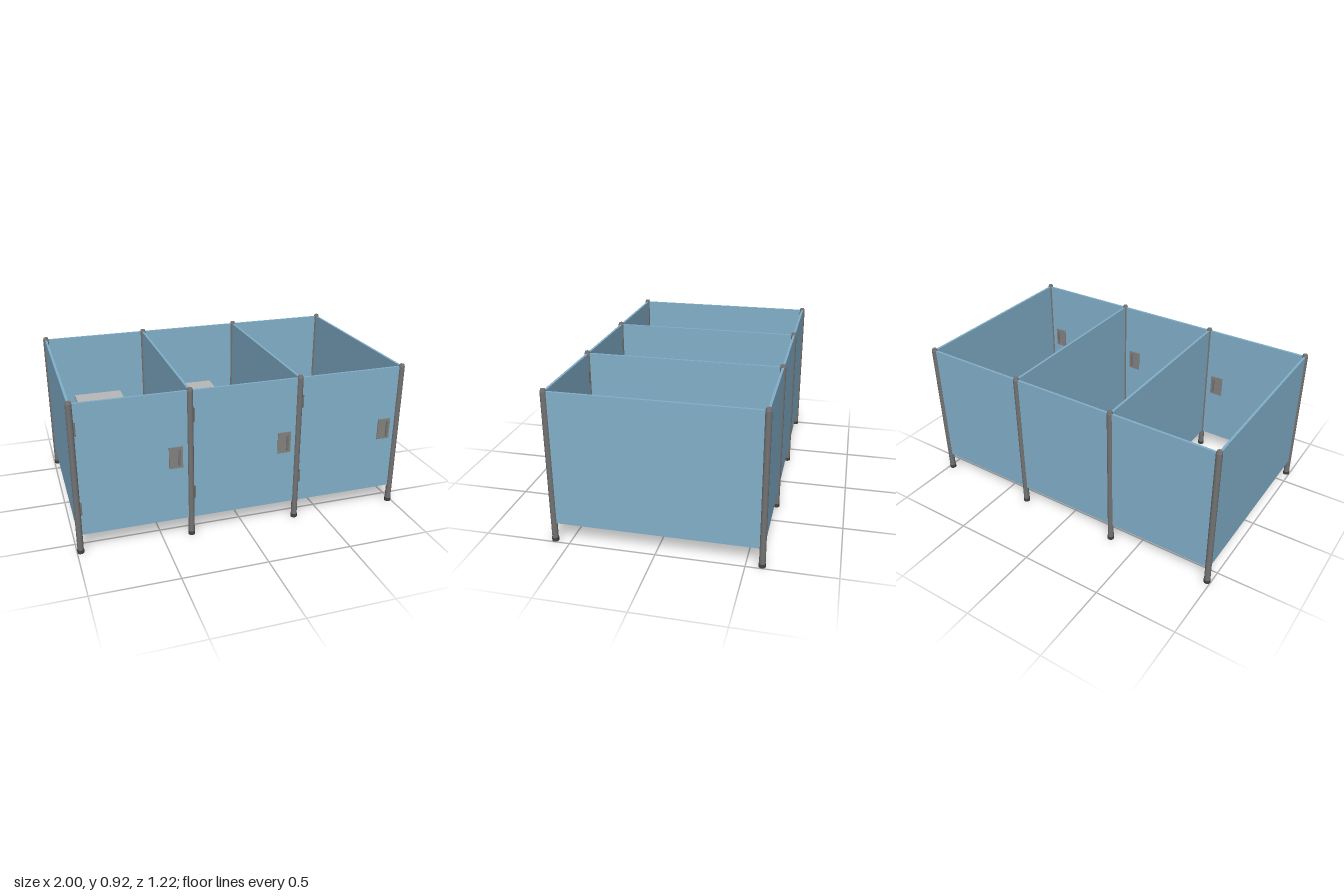
import * as THREE from 'three';

const paint = (name, color, extra = {}) => {
  const m = new THREE.MeshStandardMaterial({ color, ...extra });
  m.name = name;
  return m;
};

// Plan outline shared by bowl and seat: [side -1..1, back 0 .. front 1]
const HALF = [[0.76, 0], [1, 0.49], [0.93, 0.72], [0.65, 0.89]];
const OUTLINE = [...HALF, [0, 1], ...HALF.slice().reverse().map(([u, v]) => [-u, v])];

// Loft through sections [y, half width, z back, z front]
function loft(sections, bottom = true) {
  const rings = sections.map(([y, w, zb, zf]) =>
    OUTLINE.map(([u, v]) => [u * w, y, zb + v * (zf - zb)]));
  const pos = [];
  const tri = (...p) => p.forEach(q => pos.push(...q));
  const n = OUTLINE.length;
  const mid = ([y, , zb, zf]) => [0, y, (zb + zf) / 2];
  const last = rings.length - 1;
  for (let i = 0; i < n; i++) {
    const j = (i + 1) % n;
    for (let k = 0; k < last; k++) {
      const a = rings[k], b = rings[k + 1];
      tri(a[i], b[i], b[j]);
      tri(a[i], b[j], a[j]);
    }
    if (bottom) tri(mid(sections[0]), rings[0][i], rings[0][j]);
    tri(mid(sections[last]), rings[last][j], rings[last][i]);
  }
  const g = new THREE.BufferGeometry();
  g.setAttribute('position', new THREE.Float32BufferAttribute(pos, 3));
  g.computeVertexNormals();
  return g;
}

export function createModel() {
  const blue = paint('panel blue', 0x82b0ca);
  const steel = paint('post grey', 0x737373);
  const rubber = paint('foot dark grey', 0x444444);
  const latchGrey = paint('latch grey', 0x84827f);
  const china = paint('china grey', 0xb8b8b8, { flatShading: true, side: THREE.DoubleSide });

  const model = new THREE.Group();
  const add = (parent, name, geo, mat, x = 0, y = 0, z = 0) => {
    const m = new THREE.Mesh(geo, mat);
    m.name = name;
    m.position.set(x, y, z);
    parent.add(m);
    return m;
  };
  const box = (parent, name, mat, w, h, d, x, y, z) =>
    add(parent, name, new THREE.BoxGeometry(w, h, d), mat, x, y, z);

  const BAY = 0.653, Z = 0.59, PANEL_H = 0.792, PANEL_Y = 0.511, T = 0.014;
  const postX = [0, 1, 2, 3].map(i => (i - 1.5) * BAY);

  // Posts with bevelled tops, dark feet, and the walls running front to back
  const postProfile = [[0.018, 0.02], [0.018, 0.905], [0.018, 0.905], [0.013, 0.92], [0.013, 0.92], [0, 0.92]]
    .map(p => new THREE.Vector2(...p));
  for (const x of postX) {
    for (const z of [-Z, Z]) {
      add(model, 'post', new THREE.LatheGeometry(postProfile, 16), steel, x, 0, z);
      add(model, 'postFoot', new THREE.CylinderGeometry(0.02, 0.02, 0.022, 16), rubber, x, 0.011, z);
    }
    box(model, 'sideWall', blue, T, PANEL_H, 2 * Z - 0.03, x, PANEL_Y, 0);
  }

  function makeToilet(closedBase) {
    const t = new THREE.Group();
    t.name = 'toilet';
    add(t, 'bowl', loft([
      [0, 0.09, -0.38, -0.18], [0.012, 0.088, -0.378, -0.182],
      [0.085, 0.062, -0.355, -0.21], [0.1, 0.062, -0.352, -0.21],
      [0.116, 0.086, -0.36, -0.187], [0.2, 0.113, -0.39, -0.147],
      [0.25, 0.118, -0.4, -0.14],
    ], closedBase), china);
    add(t, 'seatLid', loft([[0.254, 0.12, -0.405, -0.135], [0.285, 0.12, -0.405, -0.135]]), china);
    box(t, 'tankSupport', china, 0.15, 0.05, 0.1, 0, 0.215, -0.42);
    box(t, 'tank', china, 0.3, 0.27, 0.145, 0, 0.335, -0.495);
    box(t, 'tankLid', china, 0.314, 0.03, 0.155, 0, 0.485, -0.495);
    for (const s of [-1, 1]) box(t, 'seatHinge', china, 0.022, 0.02, 0.025, s * 0.052, 0.287, -0.403);
    return t;
  }

  function makePaperHolder() {
    const h = new THREE.Group();
    h.name = 'paperHolder';
    const roll = add(h, 'paperRoll', new THREE.CylinderGeometry(0.033, 0.033, 0.075, 12), china, -0.045, 0, 0);
    roll.rotation.x = Math.PI / 2;
    for (const s of [-1, 1]) box(h, 'holderArm', latchGrey, 0.05, 0.03, 0.008, -0.031, 0, s * 0.046);
    box(h, 'holderPlate', latchGrey, 0.008, 0.05, 0.1, -0.011, 0, 0);
    return h;
  }

  // One bay: door, back wall, latch, hinges, toilet and paper holder
  for (let i = 0; i < 3; i++) {
    const left = postX[i], right = postX[i + 1], mid = (left + right) / 2;
    box(model, 'door', blue, BAY - 0.03, PANEL_H, T, mid, PANEL_Y, Z - 0.003);
    box(model, 'backWall', blue, BAY - 0.03, PANEL_H, T, mid, PANEL_Y, -Z);

    const latch = new THREE.Group();
    latch.name = 'latch';
    latch.position.set(right - 0.087, 0.515, Z - 0.003);
    box(latch, 'latchPlate', latchGrey, 0.08, 0.13, 0.026, 0, 0, 0);
    for (const s of [-1, 1]) box(latch, 'latchPull', steel, 0.013, 0.1, 0.008, 0.02, 0, s * 0.014);
    model.add(latch);

    for (const y of [0.28, 0.76]) box(model, 'doorHinge', steel, 0.012, 0.08, 0.02, left + 0.02, y, Z - 0.003);

    const toilet = makeToilet(i === 2);
    toilet.position.x = mid - 0.012;
    model.add(toilet);

    const holder = makePaperHolder();
    holder.position.set(right, 0.36, -0.128);
    model.add(holder);
  }
  return model;
}
